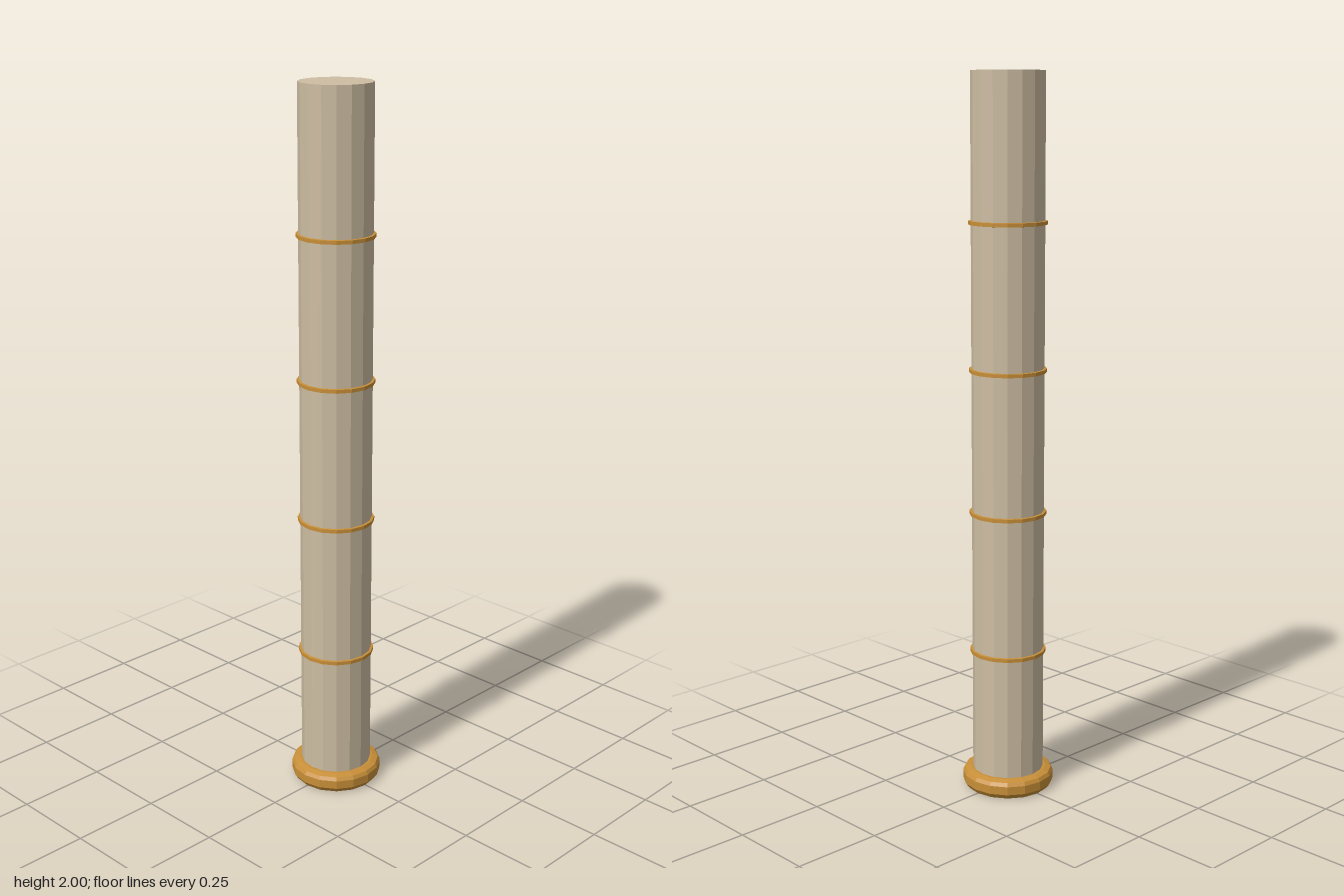
import * as THREE from 'three';

const SIDES = 16;

export function createModel() {
  const group = new THREE.Group();
  const stone = new THREE.MeshStandardMaterial({ color: 0xcdbda2, flatShading: true });
  stone.name = 'paleStone';
  const gold = new THREE.MeshStandardMaterial({ color: 0xc88f38, flatShading: true });
  gold.name = 'agedGold';

  const add = (name, geometry, material, y = 0) => {
    const mesh = new THREE.Mesh(geometry, material);
    mesh.name = name;
    mesh.position.y = y;
    group.add(mesh);
  };
  const lathe = (points) =>
    new THREE.LatheGeometry(points.map(([r, y]) => new THREE.Vector2(r, y)), SIDES);

  // Tall faceted shaft
  add('shaft', new THREE.CylinderGeometry(0.1, 0.1, 1.98, SIDES), stone, 1.01);

  // Foot with softened rim
  add('base', lathe([
    [0, 0], [0.119, 0], [0.129, 0.014], [0.129, 0.038], [0.123, 0.048], [0.107, 0.053], [0.09, 0.053],
  ]), gold);

  // Thin bands at equal spacing
  const band = lathe([[0.098, -0.006], [0.107, -0.005], [0.107, 0.005], [0.098, 0.006]]);
  for (let i = 1; i <= 4; i++) add('band' + i, band, gold, i * 0.4 + 0.003);

  return group;
}
